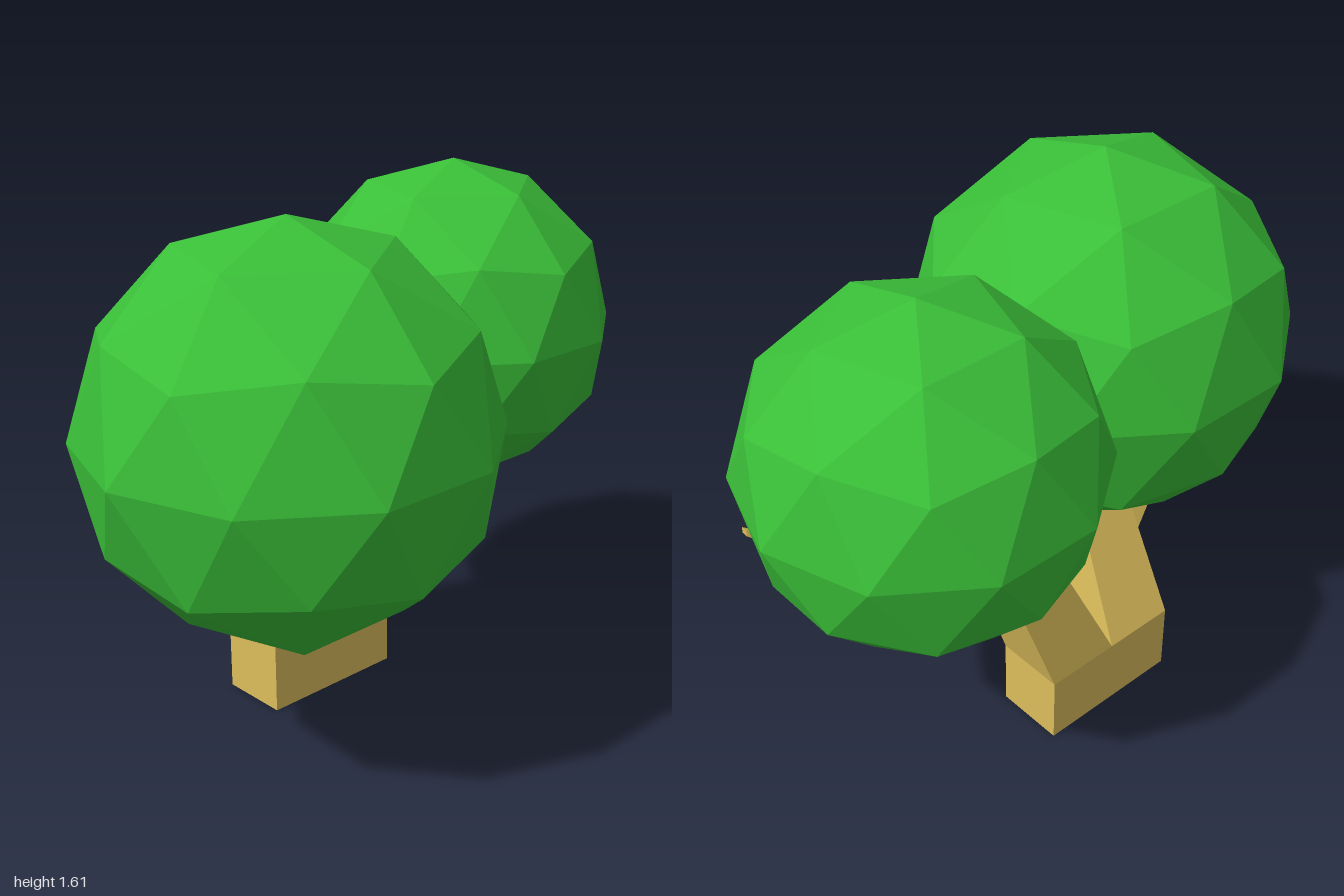
import * as THREE from 'three';

const bark = new THREE.MeshStandardMaterial({ color: 0xdcbe5c, flatShading: true });
const leaves = new THREE.MeshStandardMaterial({ color: 0x3abf38, flatShading: true });

// Joins four-cornered rings into a closed solid; corners run counter-clockwise seen from the tip
function loft(name, rings) {
  const index = [];
  for (let i = 0; i < rings.length - 1; i++) {
    for (let j = 0; j < 4; j++) {
      const a = i * 4 + j, b = i * 4 + (j + 1) % 4;
      index.push(a, b, b + 4, a, b + 4, a + 4);
    }
  }
  const t = (rings.length - 1) * 4;
  index.push(0, 2, 1, 0, 3, 2, t, t + 1, t + 2, t, t + 2, t + 3);
  const geometry = new THREE.BufferGeometry();
  geometry.setAttribute('position', new THREE.Float32BufferAttribute(rings.flat(2), 3));
  geometry.setIndex(index);
  const flat = geometry.toNonIndexed();
  flat.computeVertexNormals();
  const mesh = new THREE.Mesh(flat, bark);
  mesh.name = name;
  return mesh;
}

// Level rectangle at height y
const level = (y, x0, x1, zBack, zFront) => [
  [x0, y, zFront], [x1, y, zFront], [x1, y, zBack], [x0, y, zBack],
];

// Low-poly ball of leaves with a vertex pointing straight up
function foliage(name, radius, x, y, z) {
  const geometry = new THREE.IcosahedronGeometry(radius, 1);
  geometry.rotateZ(-Math.atan(2 / (1 + Math.sqrt(5))));
  const mesh = new THREE.Mesh(geometry, leaves);
  mesh.name = name;
  mesh.position.set(x, y, z);
  return mesh;
}

export function createModel() {
  const tree = new THREE.Group();
  tree.name = 'tree';

  // Trunk block and the two branches forking from it
  tree.add(
    loft('trunk', [level(0, -0.375, -0.155, -0.195, 0.28), level(0.225, -0.375, -0.155, -0.195, 0.28)]),
    loft('frontBranch', [level(0.225, -0.375, -0.155, 0.045, 0.28), level(0.8, -0.073, 0.068, 0.115, 0.28)]),
    loft('backBranch', [level(0.225, -0.375, -0.155, -0.195, 0.045), level(0.95, -0.285, -0.14, -0.42, -0.28)]),
  );

  // Tapering twigs, one on each branch
  tree.add(
    loft('frontTwig', [
      [[-0.21, 0.37, 0.275], [-0.115, 0.41, 0.275], [-0.07, 0.51, 0.275], [-0.17, 0.48, 0.275]],
      [[-0.07, 0.83, 0.75], [-0.04, 0.83, 0.75], [-0.04, 0.86, 0.75], [-0.07, 0.86, 0.75]],
    ]),
    loft('backTwig', [
      [[-0.21, 0.48, -0.265], [-0.32, 0.48, -0.265], [-0.32, 0.585, -0.3], [-0.21, 0.585, -0.3]],
      [[0.08, 0.94, -0.9], [0.06, 0.94, -0.9], [0.06, 0.96, -0.9], [0.08, 0.96, -0.9]],
    ]),
  );

  // Leaf crowns
  tree.add(
    foliage('frontFoliage', 0.595, 0.085, 1.017, 0.403),
    foliage('backFoliage', 0.508, -0.175, 1.1, -0.49),
  );
  return tree;
}
